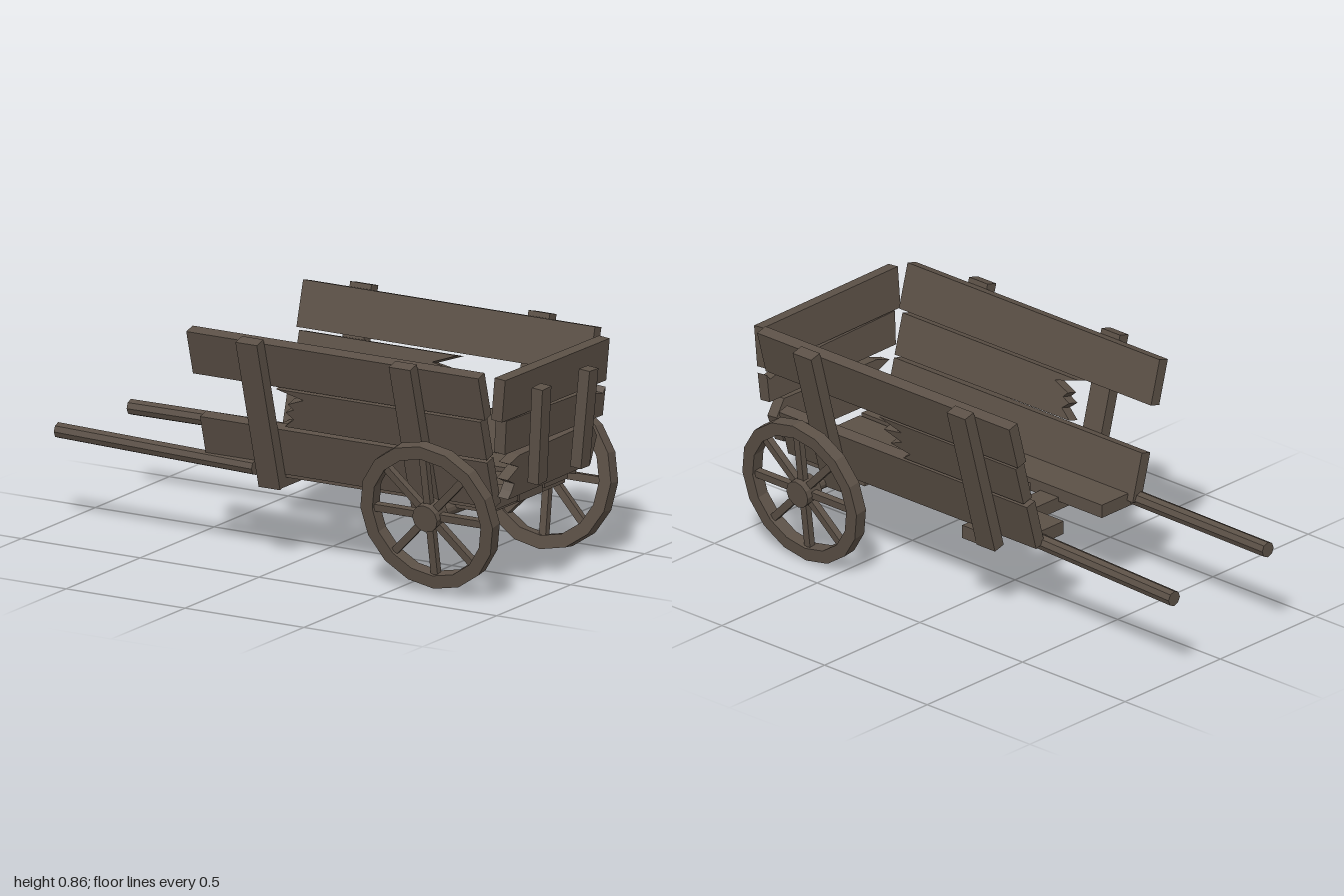
import * as THREE from 'three';

const wood = new THREE.MeshStandardMaterial({ color: 0x5b5046 });
wood.name = 'weathered wood';

// Faceted mesh with hard edges
function part(name, geometry, parent) {
  const flat = geometry.index ? geometry.toNonIndexed() : geometry;
  flat.computeVertexNormals();
  const mesh = new THREE.Mesh(flat, wood);
  mesh.name = name;
  parent.add(mesh);
  return mesh;
}

function box(name, parent, size, position) {
  const mesh = part(name, new THREE.BoxGeometry(...size), parent);
  mesh.position.set(...position);
  return mesh;
}

// Board cut from an outline, centred on its thickness
function boardGeometry(points, thickness) {
  const shape = new THREE.Shape(points.map(([u, v]) => new THREE.Vector2(u, v)));
  const g = new THREE.ExtrudeGeometry(shape, { depth: thickness, bevelEnabled: false });
  return g.translate(0, 0, -thickness / 2);
}

const rect = (u0, u1, v0, v1) => [[u0, v0], [u1, v0], [u1, v1], [u0, v1]];

function rod(name, parent, from, to, radius, sides) {
  const a = new THREE.Vector3(...from), b = new THREE.Vector3(...to);
  const dir = b.clone().sub(a);
  const mesh = part(name, new THREE.CylinderGeometry(radius, radius, dir.length(), sides), parent);
  mesh.position.copy(a).add(b).multiplyScalar(0.5);
  mesh.quaternion.setFromUnitVectors(new THREE.Vector3(0, 1, 0), dir.normalize());
}

// Leaning side wall: s is +1 for the front wall, -1 for the back wall
function sideWall(name, s, posts, middle) {
  const wall = new THREE.Group();
  wall.name = name;
  wall.position.set(0, 0.28, s * 0.287);
  wall.rotation.x = s * 0.269;
  for (const x of posts) box('sidePost', wall, [0.09, 0.592, 0.047], [x, 0.296, 0]);
  const boards = {
    topSideBoard: rect(-0.358, 0.87, 0.402, 0.573),
    brokenSideBoard: middle,
    bottomSideBoard: rect(-0.358, 0.85, 0.04, 0.225),
  };
  for (const [label, outline] of Object.entries(boards)) {
    part(label, boardGeometry(outline, 0.045), wall).position.z = -s * 0.046;
  }
  return wall;
}

// Spoked wheel with its axis along z
function wheel(name, position, tilt) {
  const g = new THREE.Group();
  g.name = name;
  g.position.set(...position);
  g.rotation.x = tilt;
  const profile = [[0.228, -0.025], [0.278, -0.025], [0.278, 0.025], [0.228, 0.025], [0.228, -0.025]]
    .map(([r, y]) => new THREE.Vector2(r, y));
  part('rim', new THREE.LatheGeometry(profile, 16).rotateX(Math.PI / 2), g);
  part('hub', new THREE.CylinderGeometry(0.052, 0.052, 0.075, 12).rotateX(Math.PI / 2), g);
  for (let i = 0; i < 8; i++) {
    const spoke = part('spoke', new THREE.BoxGeometry(0.2, 0.028, 0.026).translate(0.14, 0, 0), g);
    spoke.rotation.z = i * Math.PI / 4;
  }
  return g;
}

export function createModel() {
  const cart = new THREE.Group();
  cart.name = 'woodenCart';

  // Side walls, each with a snapped middle board
  cart.add(sideWall('frontWall', 1, [-0.075, 0.57], [
    [0.0, 0.24], [0.85, 0.236], [0.85, 0.392], [-0.01, 0.392], [0.1, 0.362], [0.03, 0.335],
    [0.05, 0.315], [0.015, 0.30], [0.045, 0.275]]));
  cart.add(sideWall('backWall', -1, [-0.145, 0.605], [
    [-0.345, 0.236], [0.24, 0.236], [0.2, 0.265], [0.29, 0.285], [0.23, 0.31], [0.31, 0.34],
    [0.22, 0.355], [0.32, 0.392], [-0.345, 0.392]]));

  // Floor planks, outlined in x and -z
  const floor = new THREE.Group();
  floor.name = 'floor';
  cart.add(floor);
  const planks = [
    [[[-0.33, -0.27], [0.84, -0.265], [0.84, -0.1], [-0.33, -0.1]], 0.337],
    [[[0, -0.08], [0.84, -0.09], [0.84, 0.065], [0, 0.08], [0.07, 0.055], [0.02, 0.035],
      [0.05, 0.015], [0, 0], [0.02, -0.02], [0.1, -0.045]], 0.33],
    [[[-0.33, 0.1], [0.84, 0.08], [0.84, 0.24], [-0.33, 0.25]], 0.342],
  ];
  for (const [outline, y] of planks) {
    part('floorPlank', boardGeometry(outline, 0.05).rotateX(-Math.PI / 2), floor).position.y = y;
  }

  // Cross members and shafts
  box('frontCrossBeam', cart, [0.09, 0.05, 0.62], [-0.075, 0.303, 0]);
  box('axleBoard', cart, [0.32, 0.025, 0.5], [0.66, 0.308, 0]);
  rod('frontShaft', cart, [-1, 0.345, 0.25], [-0.15, 0.335, 0.28], 0.029, 8);
  rod('backShaft', cart, [-1, 0.318, -0.242], [-0.1, 0.333, -0.215], 0.029, 8);

  // Tailgate, outlined in -z and height above its lower hinge
  const tailgate = new THREE.Group();
  tailgate.name = 'tailgate';
  tailgate.position.set(0.882, 0.36, 0);
  tailgate.rotation.z = -0.087;
  cart.add(tailgate);
  const tailBoards = {
    topTailBoard: [[-0.355, 0.315], [0.35, 0.31], [0.352, 0.467], [-0.355, 0.472]],
    middleTailBoard: [[-0.318, 0.185], [0.345, 0.18], [0.35, 0.285], [0.335, 0.265], [0.28, 0.276],
      [0.19, 0.3], [-0.325, 0.312]],
    bottomTailBoard: [[-0.27, 0.005], [0.285, 0.01], [0.315, 0.11], [0.27, 0.17], [-0.215, 0.16],
      [-0.28, 0.14], [-0.215, 0.115], [-0.285, 0.08], [-0.235, 0.057], [-0.25, 0.03]],
  };
  for (const [label, outline] of Object.entries(tailBoards)) {
    part(label, boardGeometry(outline, 0.045).rotateY(Math.PI / 2), tailgate);
  }
  box('tailBatten', tailgate, [0.045, 0.362, 0.06], [0.06, 0.232, 0.15]).rotation.x = 0.06;
  box('tailBatten', tailgate, [0.045, 0.365, 0.06], [0.06, 0.225, -0.154]).rotation.x = -0.022;

  // Axle and splayed wheels
  rod('axle', cart, [0.65, 0.293, 0.38], [0.655, 0.285, -0.38], 0.025, 12);
  cart.add(wheel('frontWheel', [0.65, 0.297, 0.388], 0.178));
  cart.add(wheel('backWheel', [0.66, 0.279, -0.396], -0.129));

  return cart;
}
